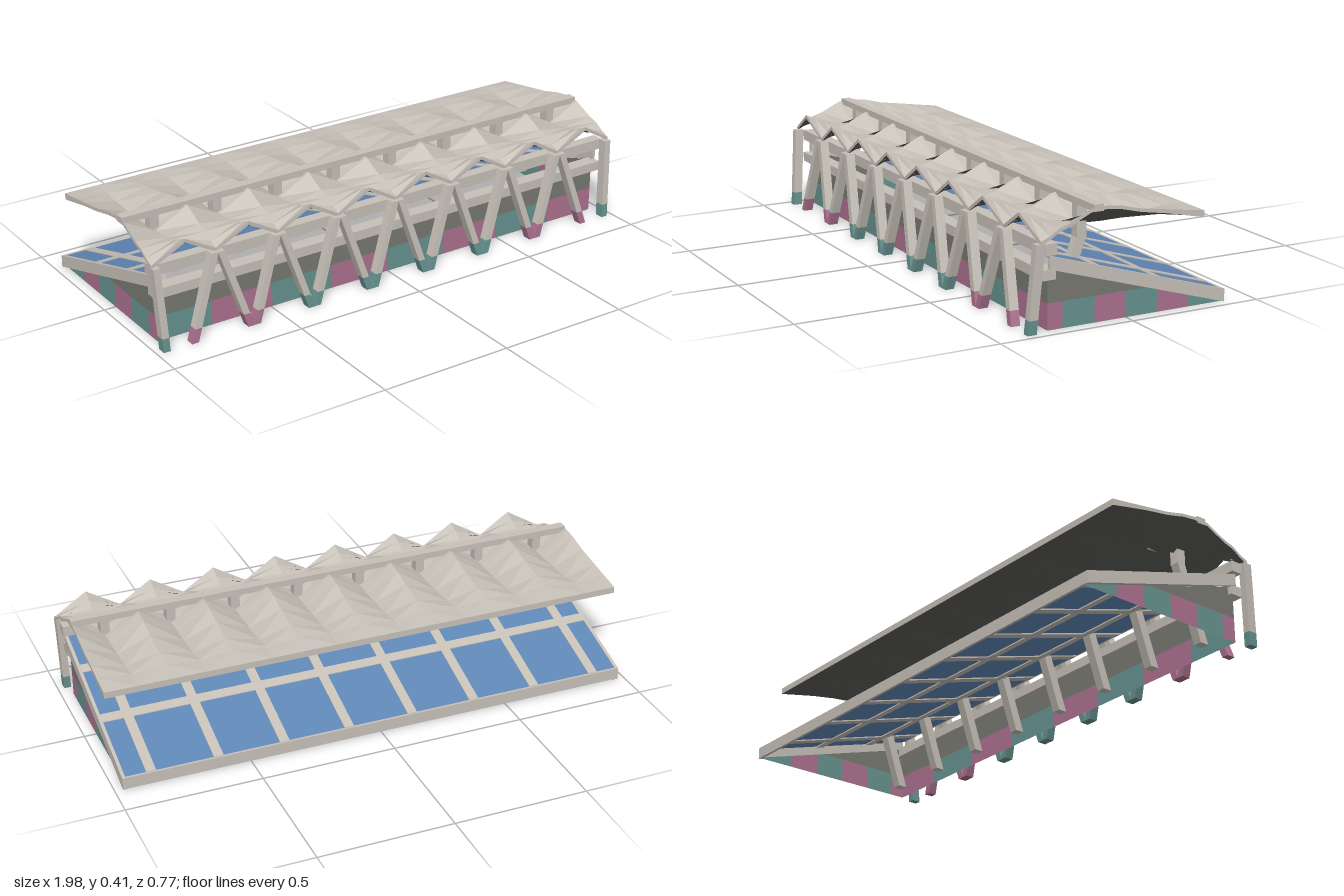
import * as THREE from 'three';

const mat = (name, color) => Object.assign(new THREE.MeshStandardMaterial({ color }), { name });
const concrete = mat('light concrete', 0xc6c0b7);
const wallGrey = mat('wall grey', 0x777870);
const soffit = mat('dark soffit', 0x5c5c58);
const teal = mat('teal', 0x66928f);
const pink = mat('pink', 0xab718f);
const glass = mat('blue glazing', 0x5f86b6);
for (const m of [wallGrey, teal, pink, glass]) m.side = THREE.DoubleSide;

const BAY = 0.2475;
const SLOPE = 0.304;
const slabTop = z => 0.047 + SLOPE * (z + 0.385);
const slabLow = z => 0.003 + SLOPE * (z + 0.385);

export function createModel() {
  const root = new THREE.Group();

  const add = (name, geo, material, parent = root) => {
    const mesh = new THREE.Mesh(geo, material);
    mesh.name = name;
    parent.add(mesh);
    return mesh;
  };
  const group = name => {
    const g = new THREE.Group();
    g.name = name;
    root.add(g);
    return g;
  };
  const box = (name, w, h, d, x, y, z, m, parent) => add(name, new THREE.BoxGeometry(w, h, d).translate(x, y, z), m, parent);

  // Flat faces from quads of points, counter-clockwise from outside
  const quads = list => {
    const pos = [];
    for (const [a, b, c, d] of list) pos.push(...a, ...b, ...c, ...a, ...c, ...d);
    const g = new THREE.BufferGeometry();
    g.setAttribute('position', new THREE.Float32BufferAttribute(pos, 3));
    g.computeVertexNormals();
    return g;
  };

  // Leaning prism with level ends, from point a up to point b
  const prism = (a, b, w, d) => {
    const g = new THREE.BoxGeometry(w, 1, d).toNonIndexed();
    const p = g.attributes.position;
    for (let i = 0; i < p.count; i++) {
      const t = p.getY(i) + 0.5;
      p.setXYZ(i, p.getX(i) + a[0] + (b[0] - a[0]) * t, a[1] + (b[1] - a[1]) * t, p.getZ(i) + a[2] + (b[2] - a[2]) * t);
    }
    g.computeVertexNormals();
    return g;
  };

  // Sloped slab along z: box sheared to follow the stand
  const sloped = (w, h, x, z0, z1, drop) => {
    const g = new THREE.BoxGeometry(w, h, z1 - z0).translate(x, 0, (z0 + z1) / 2).toNonIndexed();
    const p = g.attributes.position;
    for (let i = 0; i < p.count; i++) p.setY(i, p.getY(i) + slabTop(p.getZ(i)) - drop);
    g.computeVertexNormals();
    return g;
  };

  // Sloped deck: rim, glazing and ribs
  const deck = group('deck');
  for (const s of [-1, 1]) add('deckSideRim', sloped(0.012, 0.045, s * 0.966, -0.385, 0.303, 0.0225), concrete, deck);
  box('deckRearRim', 1.94, 0.044, 0.01, 0, 0.026, -0.38, concrete, deck);
  add('glazing', sloped(1.925, 0.006, 0, -0.378, 0.3, 0.005), glass, deck);
  for (let i = 0; i < 8; i++) add('deckRib', sloped(0.036, 0.014, (i - 3.5) * BAY, -0.378, 0.3, 0.006), concrete, deck);
  for (const z of [-0.11, 0.13]) add('deckPurlin', sloped(1.93, 0.014, 0, z - 0.018, z + 0.018, 0.006), concrete, deck);

  // Front walls: painted bays with a grey band above
  const walls = group('walls');
  const WX = 0.955, WZ = 0.302, BAND = 0.092;
  for (let i = 0; i < 8; i++) {
    const x0 = Math.max(-WX, (i - 4) * BAY), x1 = Math.min(WX, (i - 3) * BAY);
    add('frontPaintedBay', quads([[[x0, 0, WZ], [x1, 0, WZ], [x1, BAND, WZ], [x0, BAND, WZ]]]), i % 2 ? pink : teal, walls);
  }
  add('frontUpperWall', quads([[[-WX, BAND, WZ], [WX, BAND, WZ], [WX, 0.205, WZ], [-WX, 0.205, WZ]]]), wallGrey, walls);

  // Side walls cut by the slope of the deck
  const cuts = [0.302, 0.245, 0.122, 0, -0.122, -0.245, -0.385];
  const meet = -0.385 + (BAND - 0.003) / SLOPE;
  for (const s of [-1, 1]) {
    const strip = (z1, z0, low, high) => {
      const q = [[s * WX, low(z1), z1], [s * WX, low(z0), z0], [s * WX, high(z0), z0], [s * WX, high(z1), z1]];
      return s > 0 ? q : q.reverse();
    };
    const zero = () => 0, top = z => Math.min(BAND, slabLow(z));
    for (let i = 0; i < 6; i++) {
      const z = [cuts[i], cuts[i + 1]];
      if (z[0] > meet && z[1] < meet) z.splice(1, 0, meet);
      const list = z.slice(1).map((b, j) => strip(z[j], b, zero, top));
      add('sidePaintedBay', quads(list), i % 2 ? teal : pink, walls);
    }
    add('sideUpperWall', quads([strip(WZ, meet, () => BAND, slabLow)]), wallGrey, walls);
  }

  // Front beams
  box('lowerFrontBeam', 1.94, 0.036, 0.052, 0, 0.193, 0.305, concrete);
  box('upperFrontBeam', 1.96, 0.04, 0.043, 0, 0.28, 0.303, concrete);

  // Front leg row: slanted pairs with painted feet
  const legs = group('frontLegs');
  const leg = (x0, x1, paint) => {
    const at = y => [x0 + (x1 - x0) * y / 0.305, y, 0.37 - 0.022 * y / 0.305];
    add('legFoot', prism(at(0), at(0.05), 0.026, 0.034), paint, legs);
    add('leg', prism(at(0.05), at(0.305), 0.026, 0.034), concrete, legs);
  };
  for (let i = 0; i < 8; i++) {
    const x = (i - 3.5) * BAY, paint = Math.abs(x) > 0.5 ? pink : teal;
    for (const s of [-1, 1]) {
      const t = x + s * BAY / 2;
      if (Math.abs(t) < 0.9) leg(x + s * 0.012, t - s * 0.012, paint);
    }
  }
  for (const s of [-1, 1]) leg(s * 0.963, s * 0.978, teal);

  // Roof posts on leaning struts
  const posts = group('roofPosts');
  for (let i = 0; i < 8; i++) {
    const x = (i - 3.5) * BAY;
    box('post', 0.034, 0.115, 0.037, x, 0.3325, 0.1315, concrete, posts);
    add('strut', prism([x, 0, 0.226], [x, 0.278, 0.132], 0.034, 0.035), concrete, posts);
  }
  box('roofSpine', 1.98, 0.024, 0.037, 0, 0.4, 0.1315, concrete);

  // Pleated roof: z and height on the bay lines, z and height on the mid-bay lines, thickness
  const stations = [
    [0.348, 0.314, 0.36, 0.386, 0.014],
    [0.315, 0.328, 0.32, 0.367, 0.013],
    [0.28, 0.35, 0.28, 0.35, 0.012],
    [0.24, 0.362, 0.24, 0.343, 0.012],
    [0.16, 0.4, 0.16, 0.336, 0.012],
    [0.1, 0.404, 0.1, 0.331, 0.012],
    [0.045, 0.397, 0.045, 0.329, 0.012],
    [-0.03, 0.378, -0.03, 0.33, 0.012],
    [-0.13, 0.363, -0.13, 0.334, 0.014],
    [-0.2, 0.352, -0.2, 0.341, 0.018],
    [-0.282, 0.34, -0.282, 0.34, 0.024],
  ];
  const pt = (j, i, under) => {
    const s = stations[j], mid = i % 2 ? 2 : 0;
    return [(i - 8) * BAY / 2, s[mid + 1] - (under ? s[4] : 0), s[mid]];
  };
  const topFaces = [], underFaces = [], edgeFaces = [];
  const last = stations.length - 1;
  for (let i = 0; i < 16; i++) {
    for (let j = 0; j < last; j++) {
      const ring = u => [pt(j, i, u), pt(j, i + 1, u), pt(j + 1, i + 1, u), pt(j + 1, i, u)];
      const turn = q => (i % 2 ? [q[1], q[2], q[3], q[0]] : q);
      topFaces.push(turn(ring(false)));
      underFaces.push(turn(ring(true)).reverse());
    }
    edgeFaces.push([pt(0, i, true), pt(0, i + 1, true), pt(0, i + 1), pt(0, i)]);
    edgeFaces.push([pt(last, i + 1, true), pt(last, i, true), pt(last, i), pt(last, i + 1)]);
  }
  for (let j = 0; j < last; j++) {
    edgeFaces.push([pt(j, 16, true), pt(j + 1, 16, true), pt(j + 1, 16), pt(j, 16)]);
    edgeFaces.push([pt(j + 1, 0, true), pt(j, 0, true), pt(j, 0), pt(j + 1, 0)]);
  }
  const roof = group('roof');
  add('roofTop', quads(topFaces), concrete, roof);
  add('roofUnderside', quads(underFaces), soffit, roof);
  add('roofEdge', quads(edgeFaces), concrete, roof);

  return root;
}
